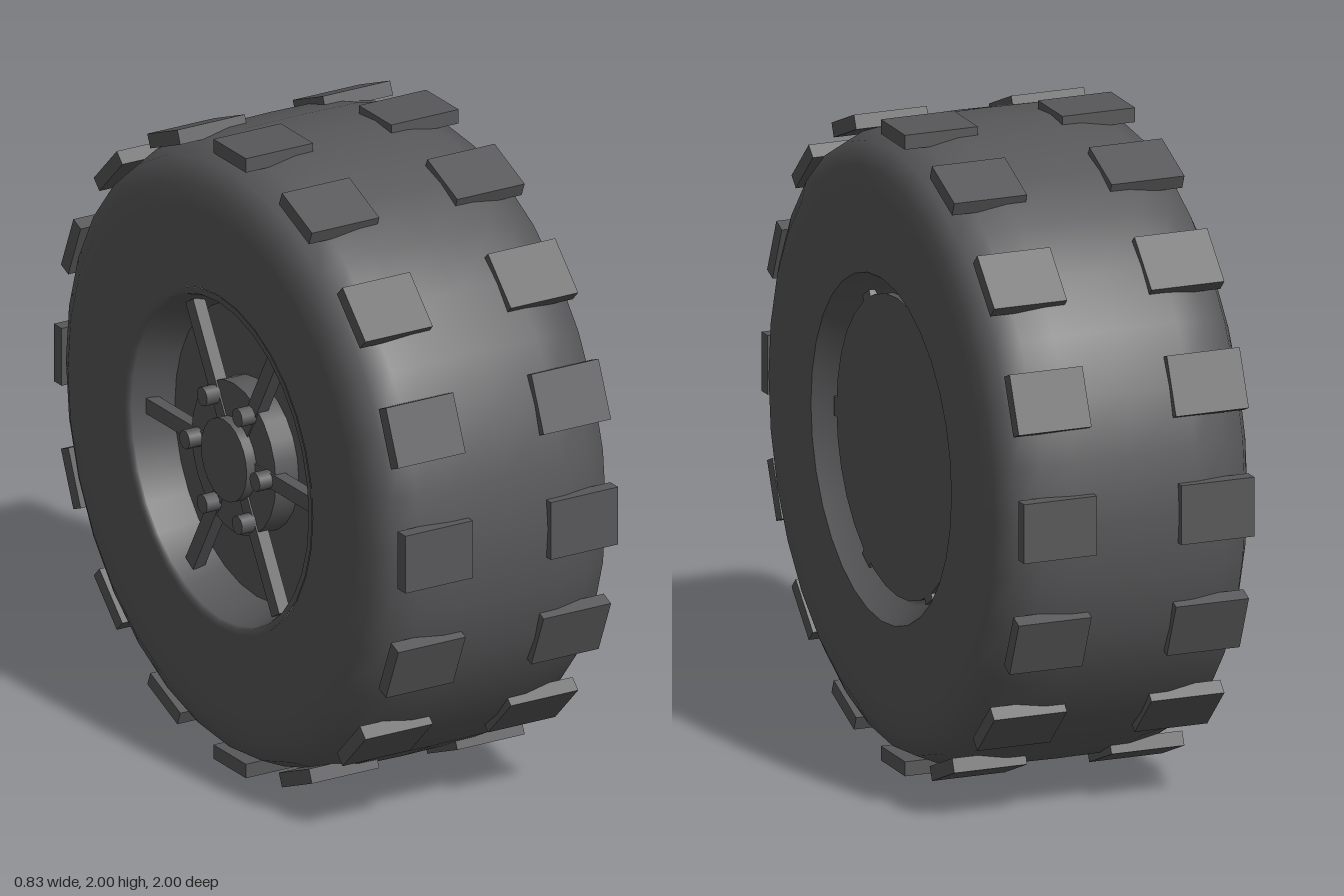
import * as THREE from 'three';

export function createModel() {
  const model = new THREE.Group();
  const wheel = new THREE.Group();
  wheel.name = 'wheel';
  wheel.position.y = 1;
  model.add(wheel);

  const rubber = new THREE.MeshStandardMaterial({ color: 0x58585a });
  rubber.name = 'dark grey';

  const add = (name, geometry, parent = wheel) => {
    const mesh = new THREE.Mesh(geometry, rubber);
    mesh.name = name;
    parent.add(mesh);
    return mesh;
  };
  // Surface of revolution about the x axle, points are [radius, x]
  const turned = (name, points) => {
    const profile = points.map(([r, x]) => new THREE.Vector2(r, x));
    const mesh = add(name, new THREE.LatheGeometry(profile, 32));
    mesh.rotation.z = -Math.PI / 2;
    return mesh;
  };
  // Solid cylinder along x, from x0 to x1
  const axial = (name, radius, x0, x1, sides, parent) => {
    const geometry = new THREE.CylinderGeometry(radius, radius, x1 - x0, sides);
    geometry.rotateZ(-Math.PI / 2);
    geometry.translate((x0 + x1) / 2, 0, 0);
    return add(name, geometry, parent);
  };

  // Tyre with rounded shoulders
  const half = [[0.535, 0.413], [0.78, 0.413], [0.86, 0.412], [0.93, 0.375], [0.963, 0.3], [0.982, 0.2]];
  turned('tyre', [
    ...half.map(([r, x]) => [r, -x]),
    [0.985, 0],
    ...half.slice().reverse(),
  ]);

  // Tread blocks: two rows of sixteen
  const blockShape = new THREE.BoxGeometry(0.237, 0.045, 0.185);
  for (let i = 0; i < 16; i++) {
    const row = new THREE.Group();
    row.name = 'treadPair';
    row.rotation.x = (i * Math.PI) / 8;
    wheel.add(row);
    for (const side of [-1, 1]) {
      add('treadBlock', blockShape, row).position.set(side * 0.256, 0.9775, 0);
    }
  }

  // Rim barrel, open on both sides, with a thin lip
  turned('closedSideWall', [[0.535, 0.413], [0.482, 0.34], [0.46, 0.335]]);
  turned('openSideWall', [[0.46, -0.27], [0.485, -0.33], [0.51, -0.405]]);
  turned('rimLip', [[0.51, -0.405], [0.515, -0.415], [0.535, -0.415]].reverse().map(([r, x]) => [r, x]).reverse());

  // Solid core closing the wheel
  axial('rimDisc', 0.465, -0.28, 0.36, 32);

  // Hub plate and cap
  axial('hubPlate', 0.24, -0.36, -0.27, 24);
  axial('hubCap', 0.13, -0.395, -0.35, 24);

  // Six spokes, each with a bolt and a stub on the closed side
  for (let i = 0; i < 6; i++) {
    const arm = new THREE.Group();
    arm.name = 'spokeArm';
    arm.rotation.x = (i * Math.PI) / 3;
    wheel.add(arm);
    add('spoke', new THREE.BoxGeometry(0.04, 0.05, 0.38), arm).position.set(-0.345, 0, 0.3);
    add('spokeStub', new THREE.BoxGeometry(0.03, 0.06, 0.03), arm).position.set(0.345, 0, 0.468);
    axial('bolt', 0.03, -0.41, -0.34, 10, arm).position.z = 0.2;
  }

  return model;
}
